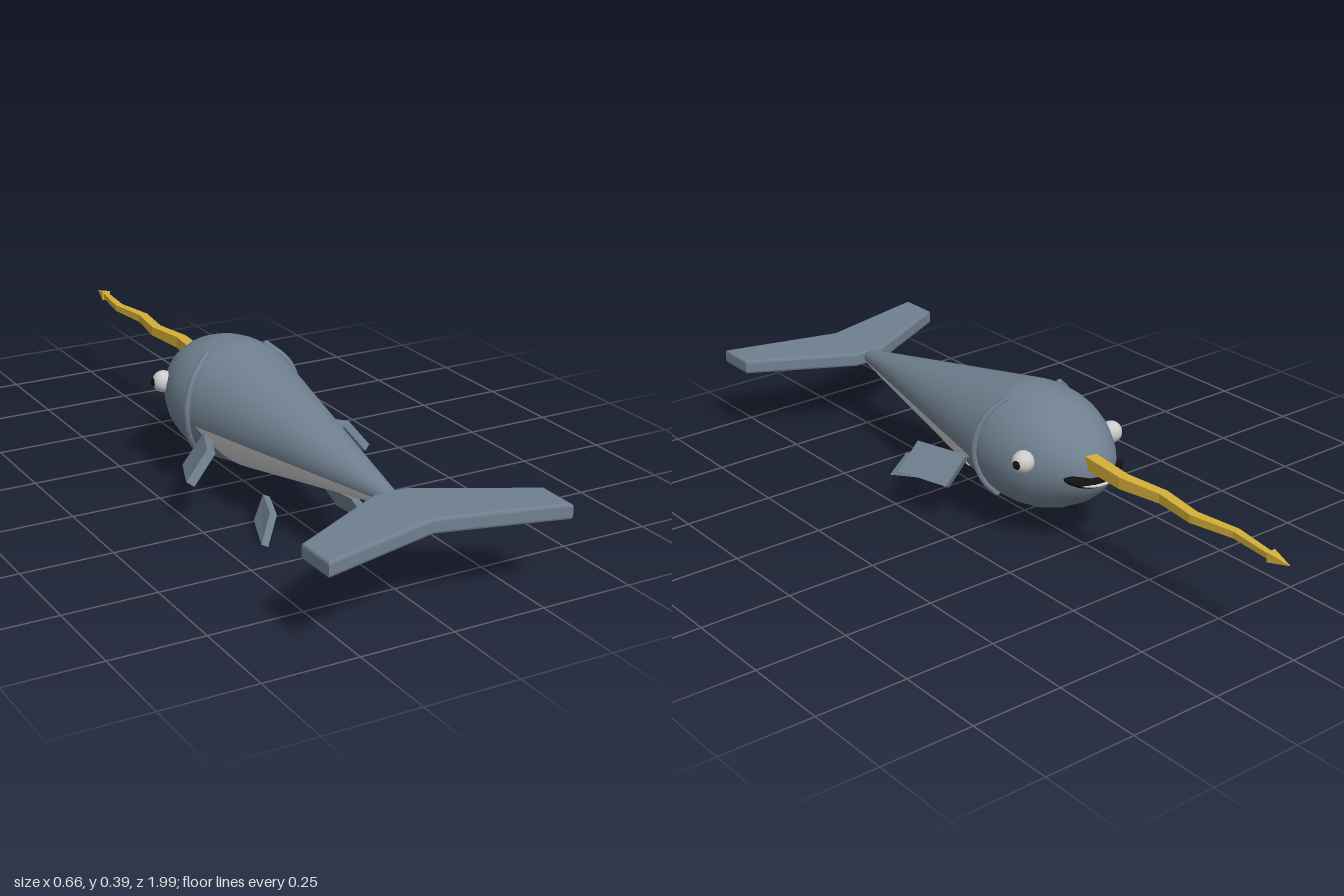
import * as THREE from 'three';

const AXIS = 0.225; // height of the body's long axis
const mat = (color, flatShading = false) =>
  new THREE.MeshStandardMaterial({ color, flatShading });
const slate = mat(0x708090), slateFlat = mat(0x708090, true), gold = mat(0xd4af37, true);
const pale = mat(0xcccccc), white = mat(0xffffff), black = mat(0x111111);
pale.side = THREE.DoubleSide;

// Straight taper of the rear body
const taper = (z) => 0.16 - 0.195 * z;

// Closed faceted solid through equal rings of points
function loft(rings) {
  const out = [];
  const tri = (...p) => p.forEach((v) => out.push(...v));
  const n = rings[0].length;
  for (let i = 0; i < rings.length - 1; i++) {
    for (let j = 0; j < n; j++) {
      const k = (j + 1) % n, A = rings[i], B = rings[i + 1];
      tri(A[j], A[k], B[k]);
      tri(A[j], B[k], B[j]);
    }
  }
  const first = rings[0], last = rings[rings.length - 1];
  for (let j = 1; j < n - 1; j++) {
    tri(first[0], first[j + 1], first[j]);
    tri(last[0], last[j], last[j + 1]);
  }
  const g = new THREE.BufferGeometry();
  g.setAttribute('position', new THREE.Float32BufferAttribute(out, 3));
  g.computeVertexNormals();
  return g;
}

// Slanted plate fin: outer face corners, pushed inward by an offset
function finGeometry(corners, offset, side) {
  const outer = corners.map(([x, y, z]) => [x * side, y, z]);
  const inner = corners.map(([x, y, z]) => [(x + offset[0]) * side, y + offset[1], z + offset[2]]);
  if (side < 0) { outer.reverse(); inner.reverse(); }
  return loft([outer, inner]);
}

// Ellipsoid bent into a smile wrapped round the snout
function smileGeometry(w, h, d) {
  const g = new THREE.SphereGeometry(1, 24, 12).scale(w, h, d);
  const p = g.attributes.position;
  for (let i = 0; i < p.count; i++) {
    const xx = p.getX(i) ** 2;
    p.setY(i, p.getY(i) + 2 * xx);
    p.setZ(i, p.getZ(i) + 1.6 * xx);
  }
  g.computeVertexNormals();
  return g;
}

export function createModel() {
  const model = new THREE.Group();
  const add = (name, geometry, material, x = 0, y = 0, z = 0) => {
    const m = new THREE.Mesh(geometry, material);
    m.name = name;
    m.position.set(x, y, z);
    model.add(m);
    return m;
  };

  // Body: rounded head towards -z, long cone towards the tail
  const profile = [[0, -0.315], [0.035, -0.31], [0.06, -0.295], [0.078, -0.278], [0.104, -0.245],
    [0.135, -0.19], [0.153, -0.14], [0.162, -0.09], [0.164, -0.03], [0.16, 0],
    [taper(0.36), 0.36], [taper(0.72), 0.72], [0, 0.722]];
  const body = new THREE.LatheGeometry(profile.map((p) => new THREE.Vector2(...p)), 32);
  body.rotateX(Math.PI / 2).scale(1.04, 1, 1);
  add('body', body, slate, 0, AXIS, 0);

  // Pale belly patch, its front edge dipping back under the body
  const belly = new THREE.PlaneGeometry(1, 1, 24, 8);
  const bp = belly.attributes.position;
  for (let i = 0; i < bp.count; i++) {
    const a = bp.getX(i) * 2.8, t = bp.getY(i) + 0.5;
    const start = 0.03 + 0.11 * Math.max(0, Math.cos(a * 1.15)) ** 0.6;
    const z = THREE.MathUtils.lerp(start, 0.7, t);
    const r = taper(z) + 0.003;
    bp.setXYZ(i, r * 1.04 * Math.sin(a), -r * Math.cos(a), z);
  }
  belly.computeVertexNormals();
  add('belly', belly, pale, 0, AXIS, 0);

  // Tail fluke
  const fluke = new THREE.Shape([[-0.045, -0.727], [-0.322, -0.877], [-0.322, -0.98], [0, -0.897],
    [0.322, -0.98], [0.322, -0.877], [0.045, -0.727]].map((p) => new THREE.Vector2(...p)));
  const flukeGeo = new THREE.ExtrudeGeometry(fluke, {
    depth: 0.026, bevelThickness: 0.007, bevelSize: 0.007, bevelSegments: 2 });
  flukeGeo.rotateX(-Math.PI / 2);
  add('tailFluke', flukeGeo, slateFlat, 0, 0.21, 0);

  // Zigzag horn with an arrow tip: x, z, half width, half height
  const horn = [[0.02, -0.27, 0.017, 0.018], [0.036, -0.435, 0.015, 0.016], [0.018, -0.56, 0.014, 0.013],
    [0.036, -0.685, 0.013, 0.011], [0.016, -0.81, 0.011, 0.009], [0.032, -0.935, 0.008, 0.007],
    [0.032, -0.937, 0.013, 0.013], [0.034, -1, 0.0005, 0.0005]];
  add('horn', loft(horn.map(([x, z, w, h]) =>
    [[x + w, h, z], [x + w, -h, z], [x - w, -h, z], [x - w, h, z]])), gold, 0, 0.262, 0);

  // Mouth
  add('lips', smileGeometry(0.1, 0.02, 0.025), black, 0, 0.207, -0.297);
  add('teeth', smileGeometry(0.075, 0.009, 0.026), white, 0, 0.201, -0.3);

  // Paired parts
  const frontFin = [[0.21, 0.2, 0.195], [0.15, 0.188, 0.06], [0.215, 0.113, 0.065], [0.272, 0.125, 0.2]];
  const rearFin = [[0.125, 0.077, 0.37], [0.095, 0.086, 0.28], [0.13, 0.027, 0.295], [0.165, 0.009, 0.398]];
  const gillPath = [[0.09, 0.365, -0.035], [0.14, 0.318, -0.01], [0.165, 0.255, 0],
    [0.166, 0.2, 0], [0.148, 0.14, -0.015], [0.122, 0.106, -0.035]];
  for (const side of [1, -1]) {
    const label = side > 0 ? 'left' : 'right';
    add(label + 'FrontFin', finGeometry(frontFin, [-0.018, -0.012, 0.01], side), slateFlat);
    add(label + 'RearFin', finGeometry(rearFin, [-0.017, -0.008, 0.005], side), slateFlat);

    const curve = new THREE.CatmullRomCurve3(
      gillPath.map(([x, y, z]) => new THREE.Vector3(x * side, y, z)));
    add(label + 'GillRidge', new THREE.TubeGeometry(curve, 28, 0.009, 8), slate);
    for (const t of [0, 1]) {
      const p = curve.getPoint(t);
      add(label + 'GillEnd', new THREE.SphereGeometry(0.009, 8, 6), slate, p.x, p.y, p.z);
    }

    add(label + 'Eye', new THREE.SphereGeometry(0.03, 20, 14), white, 0.148 * side, 0.255, -0.178);
    add(label + 'Pupil', new THREE.SphereGeometry(0.014, 16, 12), black, 0.168 * side, 0.255, -0.182);
  }
  return model;
}
